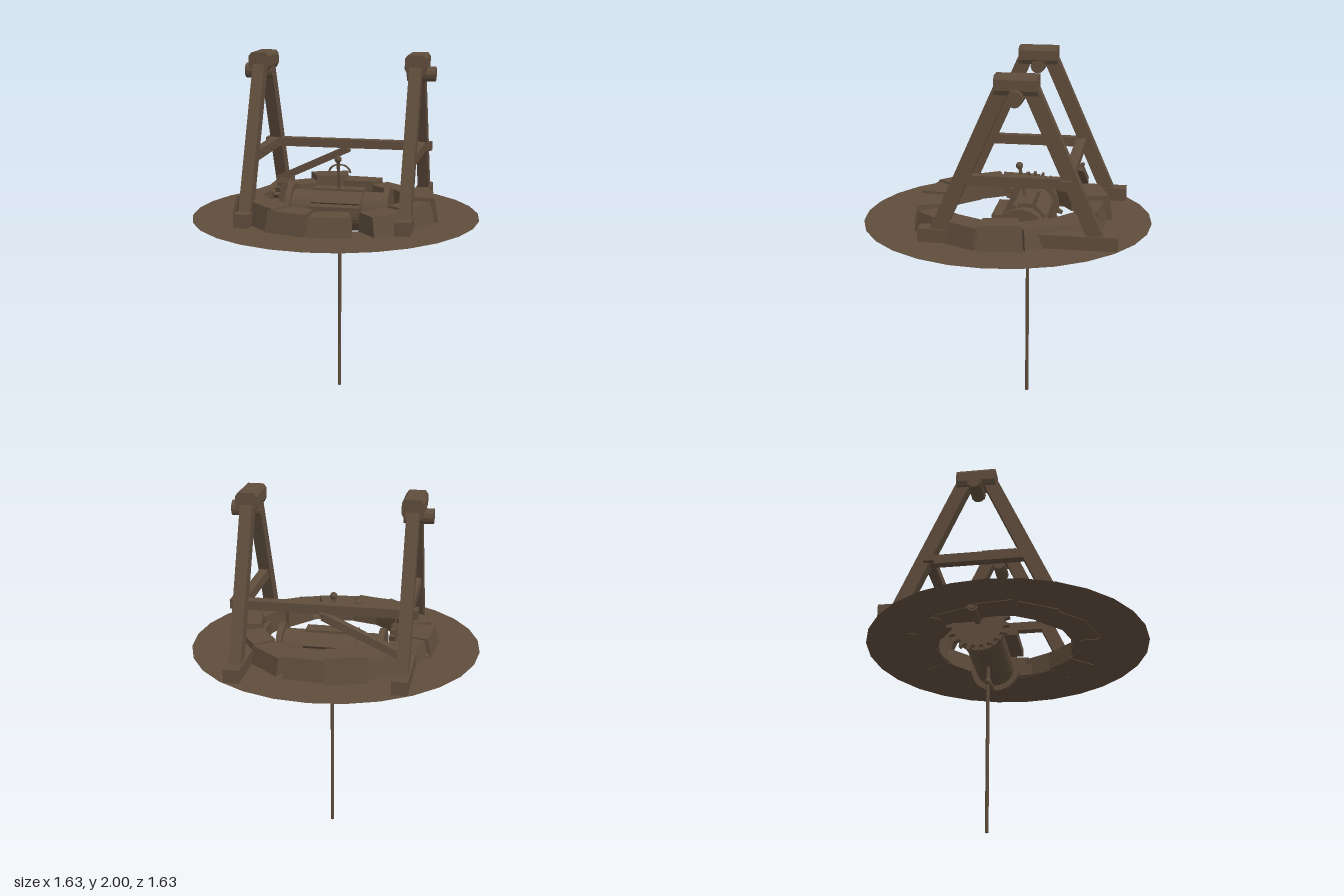
import * as THREE from 'three';

const GROUND = 1.092, AXIS_Z = -0.115;

export function createModel() {
  const root = new THREE.Group();
  root.name = 'wellWithWindlass';
  const brown = new THREE.MeshStandardMaterial({ color: 0x5f4d3c, flatShading: true, side: THREE.DoubleSide });
  brown.name = 'weatheredBrown';

  const add = (name, geo, x = 0, y = 0, z = 0) => {
    const m = new THREE.Mesh(geo, brown);
    m.name = name;
    m.position.set(x, y, z);
    root.add(m);
    return m;
  };
  const box = (name, w, h, d, x, y, z) => add(name, new THREE.BoxGeometry(w, h, d), x, y, z);
  // Cylinder lying along x from x0 to x1
  const rod = (name, r, x0, x1, y, z, sides = 12) => {
    const g = new THREE.CylinderGeometry(r, r, x1 - x0, sides);
    g.rotateZ(Math.PI / 2);
    return add(name, g, (x0 + x1) / 2, y, z);
  };
  // Square timber between two points
  const beam = (name, a, b, w, d) => {
    const A = new THREE.Vector3(...a), B = new THREE.Vector3(...b);
    const m = box(name, w, d, A.distanceTo(B), 0, 0, 0);
    m.position.copy(A).add(B).multiplyScalar(0.5);
    m.lookAt(B);
    return m;
  };

  // Flat ground ring
  const ground = new THREE.RingGeometry(0.4, 0.815, 28);
  ground.rotateX(-Math.PI / 2);
  add('groundRing', ground, 0, GROUND, 0);

  // Uneven wedge stones around the well mouth: angle, radius, height, twist
  const stones = [
    [8, 0.45, 0.11, 0.0], [44, 0.46, 0.11, 0.1], [70, 0.48, 0.12, -0.12], [94, 0.5, 0.14, 0.08],
    [119, 0.47, 0.11, 0.1], [145, 0.47, 0.1, -0.1], [172, 0.48, 0.12, 0.05], [195, 0.5, 0.145, 0.04],
    [220, 0.47, 0.11, -0.1], [245, 0.47, 0.1, 0.1], [270, 0.49, 0.11, -0.1], [295, 0.47, 0.12, 0.1],
    [318, 0.45, 0.13, -0.05], [340, 0.455, 0.12, 0.07],
  ];
  stones.forEach(([deg, r, h, twist]) => {
    const g = new THREE.BoxGeometry(0.24, h, 0.16);
    const p = g.attributes.position;
    for (let i = 0; i < p.count; i++) {
      if (p.getZ(i) < 0) p.setX(i, p.getX(i) * 0.8);
      if (p.getY(i) > 0) {
        p.setX(i, p.getX(i) * 0.95);
        if (p.getZ(i) > 0) p.setZ(i, p.getZ(i) - 0.025);
      }
    }
    g.computeVertexNormals();
    const a = THREE.MathUtils.degToRad(deg);
    const m = add('rimStone', g, r * Math.sin(a), GROUND - 0.004 + h / 2, r * Math.cos(a));
    m.rotation.y = a + twist;
  });

  // Bevelled cap block profile
  const cap = new THREE.Shape();
  [[-0.058, -0.025], [-0.045, -0.05], [0.045, -0.05], [0.058, -0.025],
    [0.058, 0.03], [0.043, 0.05], [-0.043, 0.05], [-0.058, 0.03]]
    .forEach(([x, y], i) => (i ? cap.lineTo(x, y) : cap.moveTo(x, y)));

  // A-frames on both sides
  for (const s of [-1, 1]) {
    const x = 0.441 * s;
    const capGeo = new THREE.ExtrudeGeometry(cap, { depth: 0.225, bevelEnabled: false });
    add('capBlock', capGeo, x, 1.95, -0.2275);
    box('sillBeam', 0.085, 0.075, 1.065, x, 1.13, -0.1175);
    beam('frontLeg', [x, 1.92, -0.032], [x, 1.12, 0.325], 0.066, 0.08);
    beam('backLeg', [x, 1.92, -0.193], [x, 1.12, -0.55], 0.066, 0.08);
    box('sideBrace', 0.05, 0.055, 0.56, x, 1.44, -0.11);
    rod('topPeg', 0.042, Math.min(0.385 * s, 0.543 * s), Math.max(0.385 * s, 0.543 * s), 1.89, AXIS_Z);
  }

  // Rear crossbar and its diagonal
  box('crossbar', 1.0, 0.05, 0.058, 0, 1.44, -0.375);
  beam('diagonalBrace', [-0.44, 1.2, -0.4], [0, 1.405, -0.4], 0.045, 0.04);
  rod('crossbarPin', 0.012, -0.012, 0.012, 1.42, -0.42, 8);

  // Windlass drum, flanges and shaft
  rod('windlassShaft', 0.02, -0.553, 0.553, 1.09, AXIS_Z);
  rod('drum', 0.114, -0.268, 0.268, 1.09, AXIS_Z, 28);
  for (const s of [-1, 1]) {
    rod('drumFlange', 0.147, 0.282 * s - 0.016, 0.282 * s + 0.016, 1.09, AXIS_Z, 28);
    rod('shaftKnob', 0.03, 0.53 * s - 0.012, 0.53 * s + 0.012, 1.09, AXIS_Z, 10);
  }

  // Toothed gear beside the drum
  const TEETH = 22, gear = new THREE.Shape();
  for (let i = 0; i < TEETH; i++) {
    [[0, 0.146], [0.3, 0.146], [0.48, 0.177], [0.72, 0.177], [0.9, 0.146]].forEach(([t, r], k) => {
      const a = ((i + t) / TEETH) * Math.PI * 2;
      if (i + k) gear.lineTo(r * Math.cos(a), r * Math.sin(a));
      else gear.moveTo(r, 0);
    });
  }
  const gearGeo = new THREE.ExtrudeGeometry(gear, { depth: 0.03, bevelEnabled: false });
  gearGeo.rotateY(Math.PI / 2);
  add('gear', gearGeo, -0.36, 1.09, AXIS_Z);

  // Planks lying over the drum
  for (const a of [-0.75, 0, 0.75]) {
    const m = box('drumPlank', 0.29, 0.025, 0.085, 0, 1.09 + 0.122 * Math.cos(a), AXIS_Z + 0.122 * Math.sin(a));
    m.rotation.x = a;
  }
  box('frontPlank', 0.29, 0.05, 0.075, 0, 1.125, 0.033);

  // Upright lever with a ball end and a hoop
  beam('lever', [0, 1.2, -0.1], [0, 1.4, -0.066], 0.016, 0.016);
  add('leverBall', new THREE.SphereGeometry(0.021, 10, 8), 0, 1.4, -0.066);
  const arch = new THREE.TorusGeometry(0.062, 0.006, 6, 14, Math.PI);
  arch.scale(1, 0.75, 1);
  add('hoop', arch, 0, 1.314, AXIS_Z);

  // Hanging rope, knot and toggle
  add('rope', new THREE.CylinderGeometry(0.01, 0.01, 1.0, 8), 0, 0.5, AXIS_Z);
  add('ropeKnot', new THREE.SphereGeometry(0.021, 10, 8), 0, 0.885, AXIS_Z);
  const toggle = new THREE.CapsuleGeometry(0.02, 0.085, 3, 10);
  toggle.rotateZ(Math.PI / 2);
  add('toggle', toggle, 0.083, 0.887, AXIS_Z);

  return root;
}
